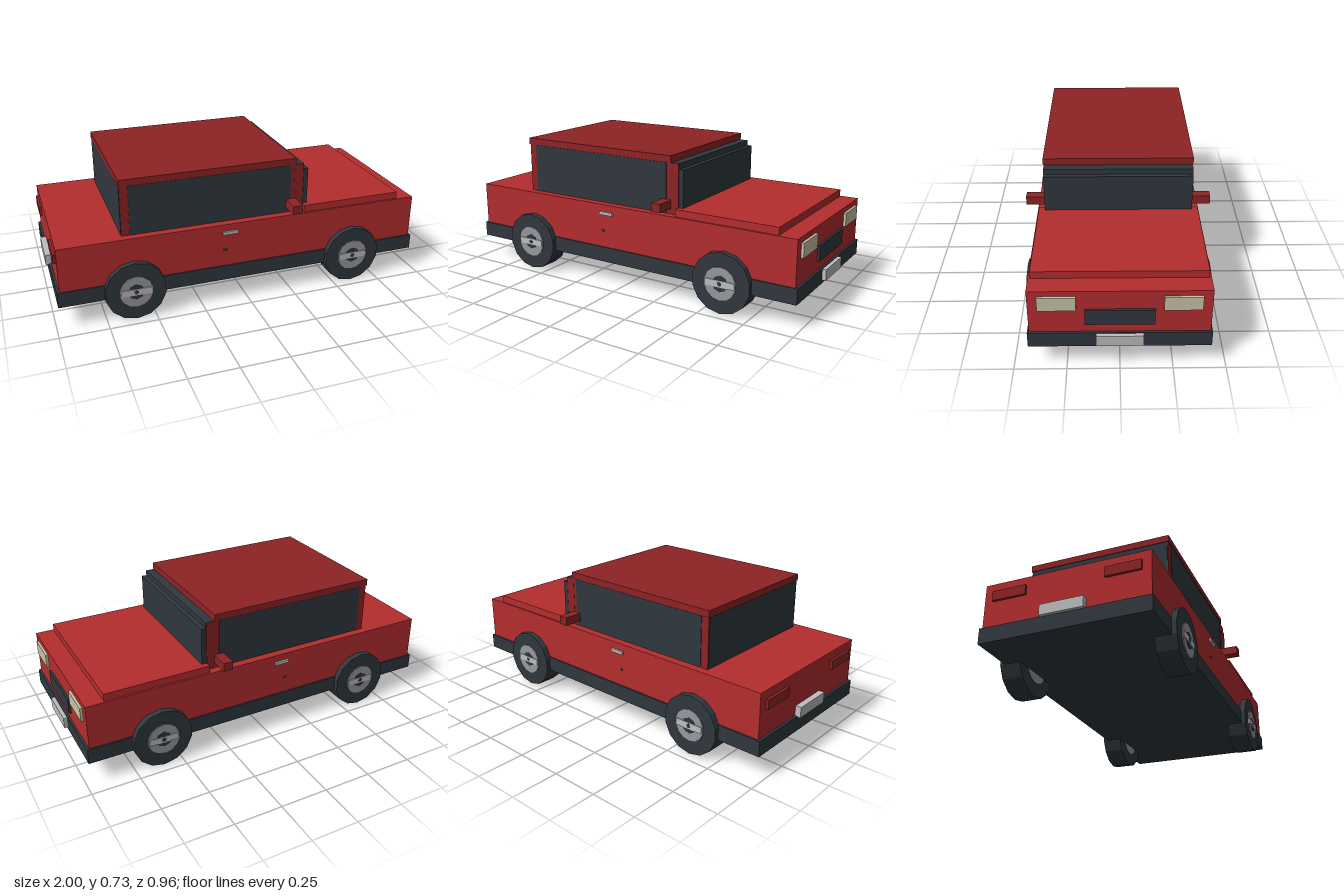
import * as THREE from 'three';

const material = (name, color) => {
  const m = new THREE.MeshStandardMaterial({ color });
  m.name = name;
  return m;
};

export function createModel() {
  const car = new THREE.Group();
  car.name = 'car';

  const red = material('body red', 0xb52d2f);
  const darkRed = material('roof dark red', 0x8e2325);
  const dark = material('dark grey', 0x30383e);
  const cream = material('headlight cream', 0xc8c4a8);
  const silver = material('light grey', 0xbebebe);
  const grey = material('hub grey', 0x9899a0);

  // Box given by its limits on each axis
  const box = (name, mat, [x0, x1], [y0, y1], [z0, z1], parent = car) => {
    const mesh = new THREE.Mesh(new THREE.BoxGeometry(x1 - x0, y1 - y0, z1 - z0), mat);
    mesh.position.set((x0 + x1) / 2, (y0 + y1) / 2, (z0 + z1) / 2);
    mesh.name = name;
    parent.add(mesh);
    return mesh;
  };
  // Same box on both sides of the car
  const pair = (name, mat, x, y, [z0, z1]) => {
    box(name, mat, x, y, [z0, z1]);
    box(name, mat, x, y, [-z1, -z0]);
  };
  // Disc with its axis along z
  const disc = (name, mat, radius, sides, [z0, z1], parent) => {
    const geo = new THREE.CylinderGeometry(radius, radius, z1 - z0, sides).toNonIndexed();
    geo.rotateX(Math.PI / 2);
    geo.computeVertexNormals();
    const mesh = new THREE.Mesh(geo, mat);
    mesh.position.z = (z0 + z1) / 2;
    mesh.name = name;
    parent.add(mesh);
    return mesh;
  };

  // Lower body
  box('chassis', dark, [-0.983, 0.98], [0.123, 0.203], [-0.428, 0.428]);
  box('body', red, [-0.97, 0.968], [0.203, 0.435], [-0.42, 0.42]);
  box('hood', red, [0.32, 0.872], [0.435, 0.473], [-0.41, 0.41]);

  // Cabin with windows
  box('cabin', darkRed, [-0.643, 0.275], [0.435, 0.697], [-0.378, 0.378]);
  box('roof', darkRed, [-0.647, 0.275], [0.697, 0.732], [-0.383, 0.383]);
  pair('sideWindow', dark, [-0.602, 0.25], [0.437, 0.695], [0.376, 0.381]);
  box('rearWindow', dark, [-0.646, -0.641], [0.437, 0.695], [-0.374, 0.374]);
  pair('frontPillar', darkRed, [0.27, 0.32], [0.435, 0.695], [0.374, 0.379]);
  box('upperWindscreen', dark, [0.275, 0.322], [0.435, 0.696], [-0.374, 0.374]);
  box('windscreen', dark, [0.322, 0.347], [0.435, 0.667], [-0.378, 0.378]);

  // Front and rear fittings
  pair('headlight', cream, [0.965, 0.981], [0.334, 0.407], [0.199, 0.375]);
  box('grille', dark, [0.965, 0.98], [0.252, 0.335], [-0.161, 0.161]);
  box('frontPlate', silver, [0.97, 1], [0.141, 0.199], [-0.11, 0.11]);
  pair('tailLight', darkRed, [-0.983, -0.965], [0.34, 0.39], [0.199, 0.375]);
  box('rearPlate', silver, [-1, -0.965], [0.2, 0.255], [-0.11, 0.11]);

  // Mirrors and door details
  pair('wingMirror', darkRed, [0.226, 0.278], [0.464, 0.509], [0.378, 0.48]);
  pair('doorHandle', silver, [-0.134, -0.054], [0.382, 0.398], [0.415, 0.431]);
  pair('doorLock', dark, [-0.13, -0.11], [0.287, 0.298], [0.415, 0.423]);

  // Wheels: tyre, hub and a bar across the hub
  for (const x of [-0.6, 0.6]) {
    for (const side of [1, -1]) {
      const wheel = new THREE.Group();
      wheel.name = x > 0 ? 'frontWheel' : 'rearWheel';
      disc('tyre', dark, 0.157, 14, [0.343, 0.452], wheel);
      disc('hub', grey, 0.085, 14, [0.34, 0.457], wheel);
      disc('hubRecess', dark, 0.042, 8, [0.45, 0.459], wheel);
      box('hubBar', silver, [-0.078, 0.078], [-0.017, 0.017], [0.45, 0.462], wheel);
      disc('hubCentre', dark, 0.012, 6, [0.455, 0.463], wheel);
      wheel.position.set(x, 0.157, 0);
      if (side < 0) wheel.rotation.y = Math.PI;
      car.add(wheel);
    }
  }
  return car;
}
